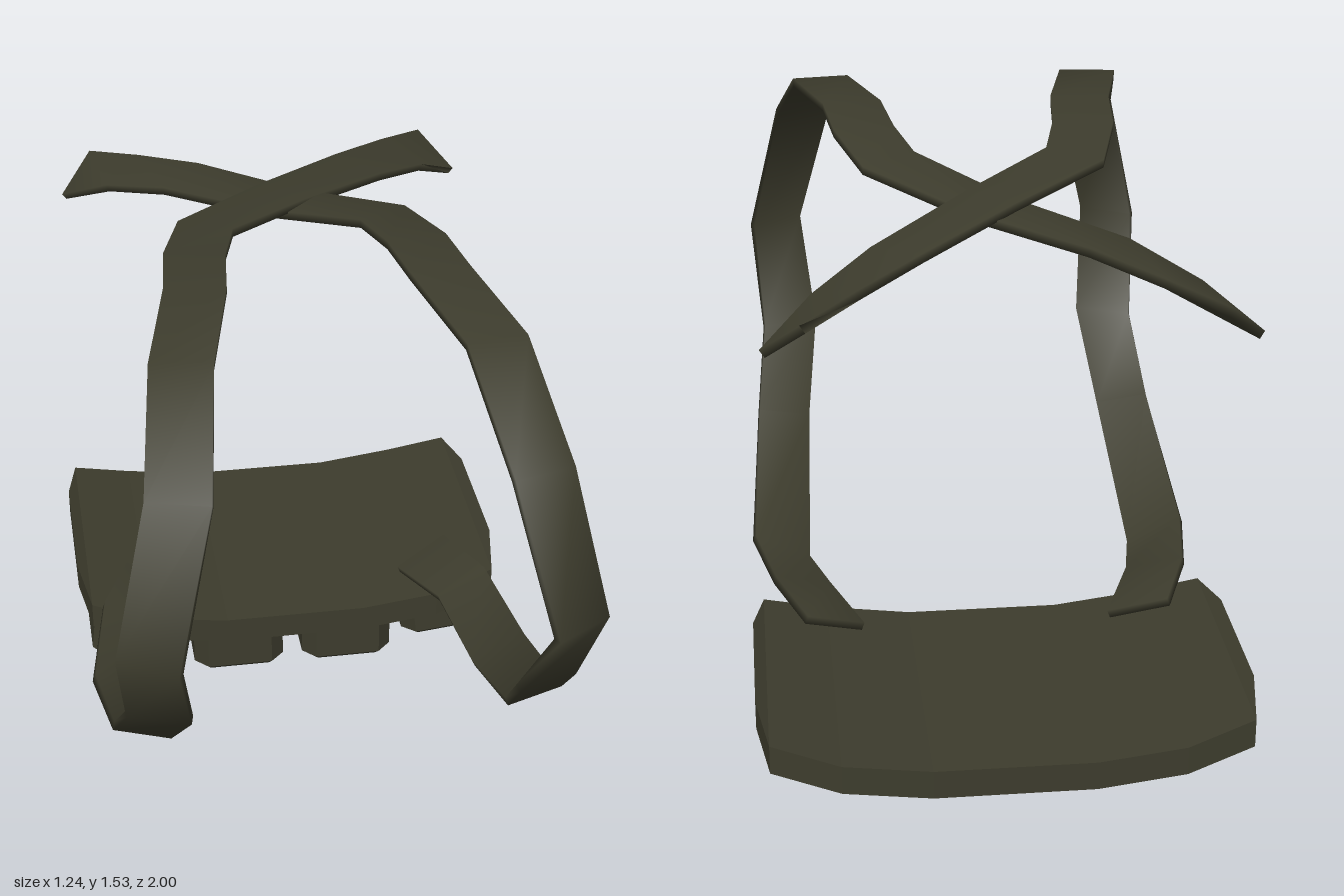
import * as THREE from 'three';

// Skin a row of four-corner rings into a closed solid.
function loft(rings) {
  const pos = rings.flat().flatMap(p => [p.x, p.y, p.z]);
  const idx = [];
  for (let r = 0; r < rings.length - 1; r++) {
    for (let i = 0; i < 4; i++) {
      const a = r * 4 + i, b = r * 4 + (i + 1) % 4;
      idx.push(a, b, b + 4, a, b + 4, a + 4);
    }
  }
  const e = (rings.length - 1) * 4;
  idx.push(0, 2, 1, 0, 3, 2, e, e + 1, e + 2, e, e + 2, e + 3);
  const g = new THREE.BufferGeometry();
  g.setAttribute('position', new THREE.Float32BufferAttribute(pos, 3));
  g.setIndex(idx);
  return g;
}

// Strap stations: centre x, y, z, then half-width vector x, y, z.
const STRAP = [
  [0.405, 0.28, -0.36, 0.075, 0.03, -0.03],
  [0.485, 0.30, -0.16, 0.073, 0.025, -0.025],
  [0.535, 0.265, 0.12, 0.075, 0.036, 0],
  [0.51, 0.48, 0.58, 0.073, 0.015, -0.01],
  [0.48, 0.69, 0.79, 0.077, 0, -0.025],
  [0.51, 0.965, 0.95, 0.07, 0, -0.042],
  [0.42, 1.34, 0.85, 0.075, 0, -0.02],
  [0.375, 1.51, 0.53, 0.076, 0, -0.01],
  [0.305, 1.528, 0.2, 0.077, 0, -0.008],
  [0.285, 1.515, 0, 0.078, 0, -0.01],
  [0.235, 1.49, -0.2, 0.067, -0.005, -0.043],
  [0, 1.447, -0.43, 0.055, 0, -0.055],
  [-0.25, 1.412, -0.67, 0.055, 0.008, -0.055],
  [-0.4, 1.37, -0.82, 0.05, 0.02, -0.05],
  [-0.525, 1.315, -0.945, 0.045, 0.045, -0.045],
];

function strapGeometry(side) {
  const pts = STRAP.map(([x, y, z], i) =>
    new THREE.Vector3(x * side, y - (i === 11 ? side * 0.012 : 0), z));
  const rings = pts.map((c, i) => {
    const w = new THREE.Vector3(STRAP[i][3] * side, STRAP[i][4], STRAP[i][5]);
    const before = pts[Math.max(i - 1, 0)], after = pts[Math.min(i + 1, pts.length - 1)];
    const t = after.clone().sub(before).normalize();
    const n = t.cross(w).setLength(0.011);
    return [[-1, -1], [1, -1], [1, 1], [-1, 1]].map(([a, b]) =>
      c.clone().addScaledVector(w, a).addScaledVector(n, b));
  });
  const g = loft(rings);
  g.computeVertexNormals();
  return g;
}

// Curved panel, sliced across x: x, underside y, back z, front z.
function padGeometry() {
  const half = [
    [0.2, 0.14, -1, -0.2],
    [0.42, 0.168, -1, -0.2],
    [0.59, 0.217, -0.97, -0.23],
    [0.62, 0.24, -0.8, -0.4],
  ];
  const slices = [...half.map(([x, ...r]) => [-x, ...r]).reverse(), ...half];
  const rings = slices.map(([x, y, z0, z1]) => [
    new THREE.Vector3(x, y, z0), new THREE.Vector3(x, y + 0.075, z0),
    new THREE.Vector3(x, y + 0.075, z1), new THREE.Vector3(x, y, z1),
  ]);
  const g = loft(rings).toNonIndexed();
  g.computeVertexNormals();
  return g;
}

// Pouch with cut corners and a bevelled rim, centred on its origin.
function pouchGeometry() {
  const b = 0.018, w = 0.133 - b, d = 0.24 - b, c = 0.028, h = 0.14;
  const outline = [
    [w, -d + c], [w, d - c], [w - c, d], [-w + c, d],
    [-w, d - c], [-w, -d + c], [-w + c, -d], [w - c, -d],
  ].map(([x, y]) => new THREE.Vector2(x, y));
  const g = new THREE.ExtrudeGeometry(new THREE.Shape(outline), {
    depth: h - 2 * b, bevelEnabled: true, bevelSize: b, bevelThickness: b, bevelSegments: 1,
  });
  g.translate(0, 0, b - h / 2);
  g.rotateX(-Math.PI / 2);
  return g;
}

export function createModel() {
  const group = new THREE.Group();
  const canvas = new THREE.MeshStandardMaterial({ color: 0x3d3c2d });
  canvas.name = 'olive canvas';

  const add = (name, geometry) => {
    const mesh = new THREE.Mesh(geometry, canvas);
    mesh.name = name;
    group.add(mesh);
    return mesh;
  };

  add('beltPanel', padGeometry());

  const pouch = pouchGeometry();
  for (const side of [1, -1]) {
    const label = side > 0 ? 'left' : 'right';
    add(label + 'ShoulderStrap', strapGeometry(side));
    // Inner pouch hangs level, outer pouch follows the panel curve.
    add(label + 'InnerPouch', pouch).position.set(0.162 * side, 0.075, -0.475);
    const outer = add(label + 'OuterPouch', pouch);
    outer.position.set(0.457 * side, 0.145, -0.475);
    outer.rotation.z = 0.11 * side;
  }
  return group;
}
